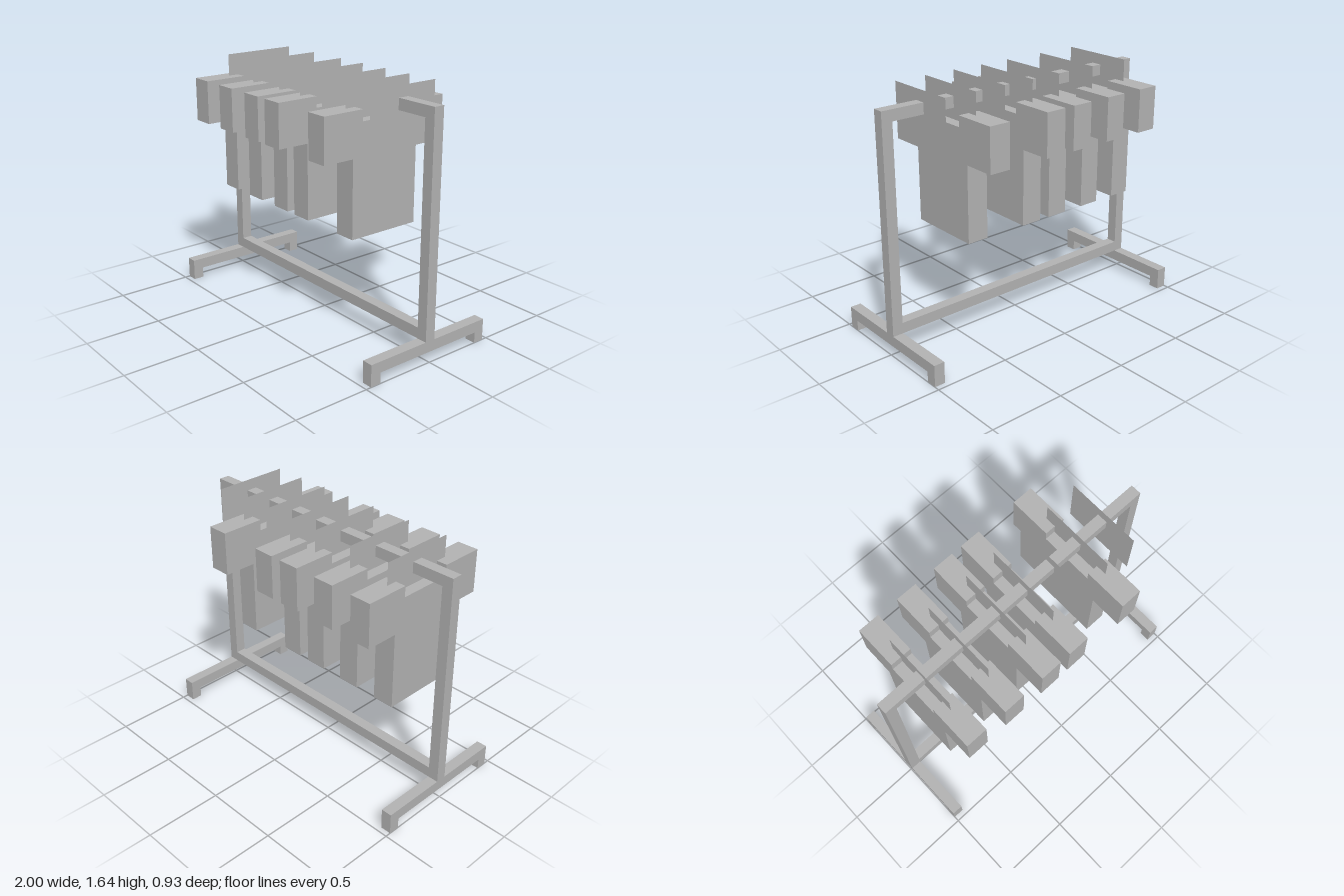
import * as THREE from 'three';

// Everything sits on a grid of 28 cells across the 2-unit width.
const U = 1 / 14;

export function createModel() {
  const model = new THREE.Group();
  model.name = 'clothesRack';
  const grey = new THREE.MeshStandardMaterial({ color: 0xb2b2b2, side: THREE.DoubleSide });
  grey.name = 'plain grey';

  const add = (parent, name, geometry, x, y, z) => {
    const mesh = new THREE.Mesh(geometry, grey);
    mesh.name = name;
    mesh.position.set(x * U, y * U, z * U);
    parent.add(mesh);
  };
  const box = (w, h, d) => new THREE.BoxGeometry(w * U, h * U, d * U);

  // Frame: two rails between the uprights, each upright on a footed base
  const frame = new THREE.Group();
  frame.name = 'frame';
  model.add(frame);
  add(frame, 'hangingRail', box(26, 1, 1), 0, 21.5, 0);
  add(frame, 'lowerRail', box(26, 1, 1), 0, 2.5, 0);
  for (const side of [-1, 1]) {
    const x = side * 13.5;
    add(frame, 'upright', box(1, 20, 1), x, 12, 0);
    add(frame, 'baseBar', box(1, 1, 13), x, 1.5, 0);
    for (const end of [-1, 1]) add(frame, 'foot', box(1, 1, 1), x, 0.5, end * 6);
  }

  // Shirt outline: one half is drawn, then mirrored; the neck is a shallow notch
  const half = [[3.5, 10], [3.5, 17], [6.5, 17], [6.5, 21], [2.5, 21], [2.5, 20]];
  const outline = [...half, ...half.map(([z, y]) => [-z, y]).reverse()];
  const shirt = new THREE.ExtrudeGeometry(
    new THREE.Shape(outline.map(([z, y]) => new THREE.Vector2(z * U, y * U))),
    { depth: 2 * U, bevelEnabled: false }
  );
  shirt.translate(0, 0, -U).rotateY(Math.PI / 2);
  for (const x of [-10, -6, -2, 1, 7]) add(model, 'shirt', shirt, x, 0, 0);

  // Flat hangers: one through each shirt and two left empty
  const hanger = new THREE.PlaneGeometry(7 * U, 5 * U).rotateY(Math.PI / 2);
  for (const x of [-10, -6, -2, 1, 4, 7, 10]) add(model, 'hanger', hanger, x, 20.5, 0);

  return model;
}
